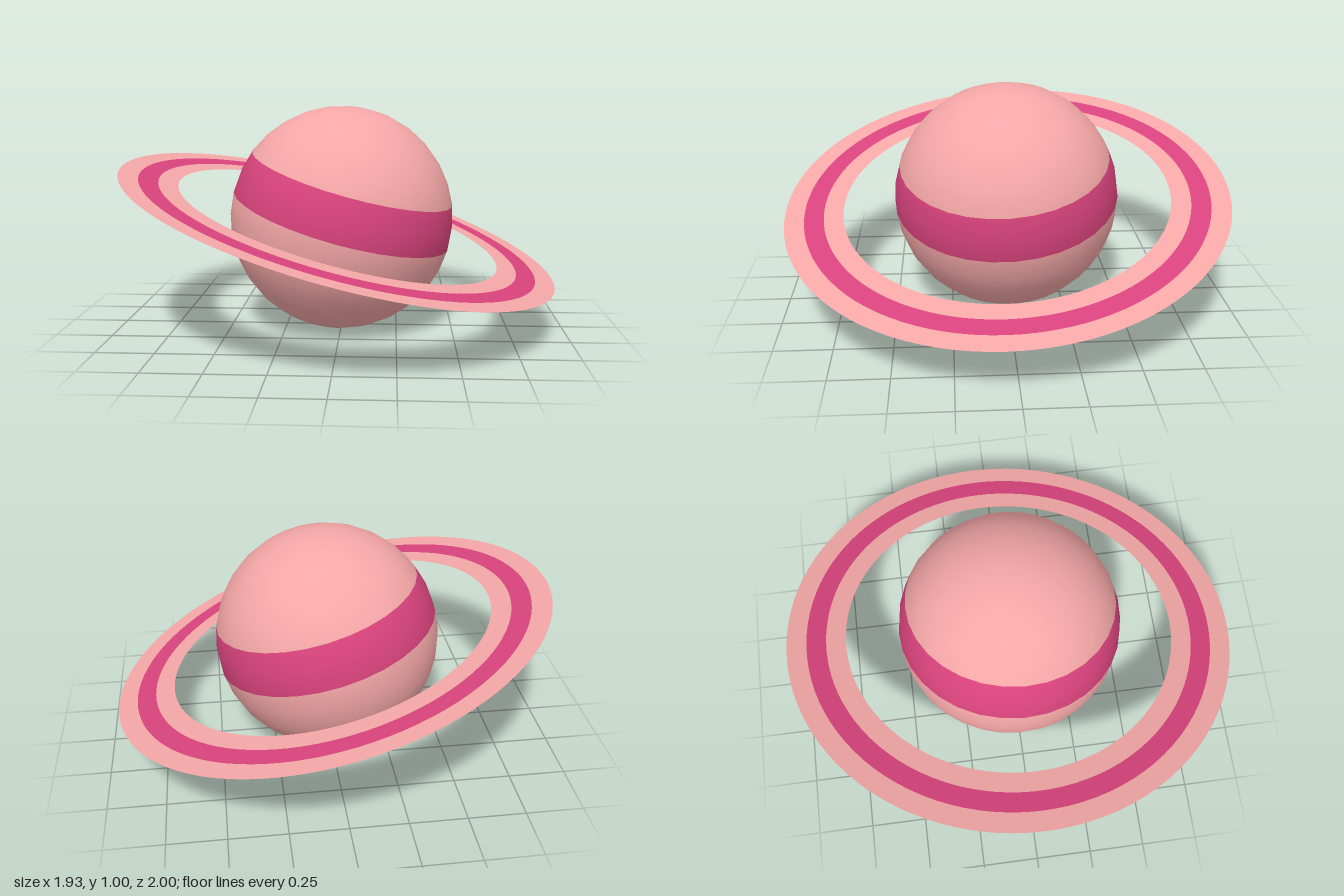
import * as THREE from 'three';

const PALE = 0xf5a7a7;
const DEEP = 0xd8437c;
const RADIUS = 0.5;
const SIDES = 32;
const STACK = Math.PI / 16;

function addMesh(parent, name, geometry, color, side = THREE.FrontSide) {
  const mesh = new THREE.Mesh(geometry, new THREE.MeshStandardMaterial({ color, side }));
  mesh.name = name;
  parent.add(mesh);
  return mesh;
}

export function createModel() {
  const model = new THREE.Group();
  model.name = 'ringedPlanet';

  // Everything shares one tilted axis through the globe's centre
  const tilted = new THREE.Group();
  tilted.name = 'tiltedBody';
  tilted.position.y = RADIUS;
  const axis = new THREE.Vector3(0.262, 0.963, 0.063).normalize();
  tilted.quaternion.setFromUnitVectors(new THREE.Vector3(0, 1, 0), axis);
  model.add(tilted);

  // Globe in three latitude zones: [name, first stack, stack count, colour]
  const zones = [
    ['northernCap', 0, 6, PALE],
    ['equatorBand', 6, 2, DEEP],
    ['southernHalf', 8, 8, PALE],
  ];
  for (const [name, first, count, color] of zones) {
    addMesh(tilted, name, new THREE.SphereGeometry(
      RADIUS, SIDES, count, 0, Math.PI * 2, first * STACK, count * STACK), color);
  }

  // Flat ring in three concentric strips, slightly below the equator
  const rings = new THREE.Group();
  rings.name = 'rings';
  rings.position.set(-0.006, -0.021, -0.001);
  tilted.add(rings);
  const strips = [
    ['innerRing', 0.737, 0.825, PALE],
    ['middleRing', 0.825, 0.912, DEEP],
    ['outerRing', 0.912, 1.0, PALE],
  ];
  for (const [name, inner, outer, color] of strips) {
    const geometry = new THREE.RingGeometry(inner, outer, 96, 1);
    geometry.rotateX(-Math.PI / 2);
    addMesh(rings, name, geometry, color, THREE.DoubleSide);
  }

  return model;
}
